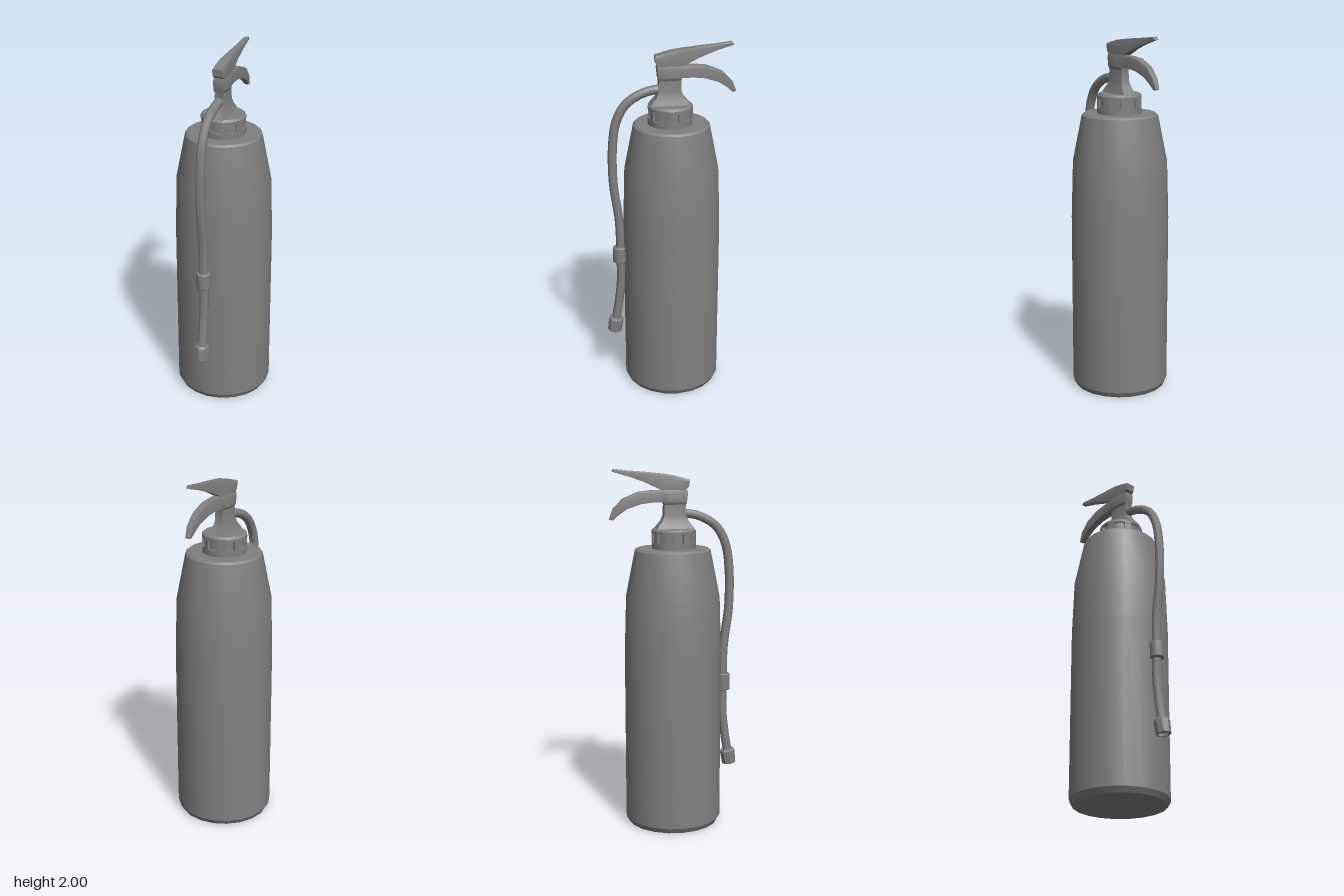
import * as THREE from 'three';
import { toCreasedNormals } from 'three/addons/utils/BufferGeometryUtils.js';

const darkGrey = new THREE.MeshStandardMaterial({ color: 0x808080 });

function add(parent, name, geometry, crease = 0.45) {
  const mesh = new THREE.Mesh(toCreasedNormals(geometry, crease), darkGrey);
  mesh.name = name;
  parent.add(mesh);
  return mesh;
}

function lathe(profile, sides) {
  return new THREE.LatheGeometry(profile.map(([r, y]) => new THREE.Vector2(r, y)), sides);
}

// Skin a list of equal-sized rings, with flat caps at both ends
function loft(rings) {
  const n = rings[0].length;
  const index = [];
  for (let i = 0; i < rings.length - 1; i++) {
    for (let j = 0; j < n; j++) {
      const a = i * n + j, b = i * n + (j + 1) % n;
      index.push(a, b, a + n, b, b + n, a + n);
    }
  }
  const last = (rings.length - 1) * n;
  for (let j = 1; j < n - 1; j++) {
    index.push(0, j + 1, j, last, last + j, last + j + 1);
  }
  const g = new THREE.BufferGeometry();
  g.setAttribute('position', new THREE.Float32BufferAttribute(rings.flat(2), 3));
  g.setIndex(index);
  return g;
}

// Handle from stations [zTop, yTop, zBottom, yBottom, halfWidth], tip first
function handle(stations) {
  return loft(stations.map(([zt, yt, zb, yb, w]) => {
    const at = (x, t) => [x, yb + (yt - yb) * t, zb + (zt - zb) * t];
    return [at(w * 0.92, 0), at(w, 0.8), at(w * 0.85, 1), at(-w * 0.85, 1), at(-w, 0.8), at(-w * 0.92, 0)];
  }));
}

export function createModel() {
  const model = new THREE.Group();
  model.name = 'fireExtinguisher';

  // Tank with bevelled foot, tapered shoulder and bevelled rim
  const tank = add(model, 'tank', lathe([
    [0, 0], [0.253, 0], [0.27, 0.03], [0.271, 0.98], [0.261, 1.3], [0.21, 1.556], [0.199, 1.566], [0, 1.566],
  ], 20));
  tank.position.z = -0.01;

  // Collar: core, two bands and posts that leave eight square recesses
  const collar = new THREE.Group();
  collar.name = 'collar';
  collar.position.z = -0.004;
  model.add(collar);
  add(collar, 'collarCore', lathe([[0.111, 1.56], [0.111, 1.66]], 16));
  add(collar, 'lowerBand', lathe([[0.1, 1.56], [0.123, 1.56], [0.123, 1.6], [0.1, 1.6]], 16));
  add(collar, 'upperBand', lathe([[0.1, 1.65], [0.123, 1.65], [0.123, 1.664], [0.112, 1.675], [0, 1.675]], 16));
  for (let i = 0; i < 8; i++) {
    const post = add(collar, 'collarPost', new THREE.BoxGeometry(0.036, 0.06, 0.024));
    const angle = (i + 0.5) * Math.PI / 4;
    post.position.set(Math.sin(angle) * 0.108, 1.625, Math.cos(angle) * 0.108);
    post.rotation.y = angle;
  }

  // Valve body flaring down to the collar, with a wider head: [y, halfX, halfZ]
  const valve = [
    [1.67, 0.05, 0.108], [1.69, 0.043, 0.095], [1.715, 0.035, 0.074], [1.745, 0.029, 0.062],
    [1.805, 0.027, 0.06], [1.818, 0.034, 0.064], [1.872, 0.034, 0.07], [1.885, 0.03, 0.067],
  ].map(([y, hx, hz]) => [
    [1, 0.4], [1, -0.4], [0.84, -1], [-0.84, -1], [-1, -0.4], [-1, 0.4], [-0.84, 1], [0.84, 1],
  ].map(([x, z]) => [x * hx, y, z * hz]));
  add(model, 'valveBody', loft(valve));

  // Squeeze lever on top
  add(model, 'squeezeLever', handle([
    [-0.335, 2.0, -0.345, 1.985, 0.013],
    [-0.25, 1.99, -0.25, 1.957, 0.016],
    [-0.16, 1.982, -0.165, 1.927, 0.02],
    [-0.07, 1.972, -0.075, 1.885, 0.026],
    [-0.02, 1.965, -0.01, 1.88, 0.031],
    [0.03, 1.953, 0.05, 1.88, 0.033],
    [0.08, 1.94, 0.075, 1.9, 0.03],
  ]));

  // Fixed carrying handle, curling down at the tip
  add(model, 'carryHandle', handle([
    [-0.362, 1.73, -0.342, 1.724, 0.013],
    [-0.34, 1.785, -0.315, 1.75, 0.018],
    [-0.285, 1.84, -0.265, 1.785, 0.021],
    [-0.2, 1.875, -0.19, 1.81, 0.023],
    [-0.13, 1.882, -0.13, 1.818, 0.026],
    [-0.04, 1.884, -0.04, 1.82, 0.031],
  ]));

  // Hose hanging down the front: [y, z]
  const path = new THREE.CatmullRomCurve3([
    [1.757, 0.04], [1.753, 0.09], [1.732, 0.16], [1.68, 0.238], [1.595, 0.287], [1.475, 0.31],
    [1.24, 0.313], [1.0, 0.284], [0.8, 0.28], [0.63, 0.28], [0.5, 0.294], [0.38, 0.314],
  ].map(([y, z]) => new THREE.Vector3(0, y, z)));
  add(model, 'hose', new THREE.TubeGeometry(path, 36, 0.025, 10), 1);

  // Clip around the hose
  const clip = add(model, 'hoseClip', lathe([
    [0, -0.048], [0.034, -0.048], [0.04, -0.043], [0.04, 0.043], [0.034, 0.048], [0, 0.048],
  ], 10), 0.7);
  clip.position.set(0, 0.797, 0.283);

  // Nozzle at the hose end, recessed below
  const nozzle = add(model, 'nozzle', lathe([
    [0, -0.025], [0.03, -0.025], [0.032, -0.042], [0.04, -0.042], [0.043, 0.032], [0.037, 0.042], [0, 0.042],
  ], 8));
  nozzle.position.set(0, 0.353, 0.317);
  nozzle.rotation.x = -0.15;

  return model;
}
